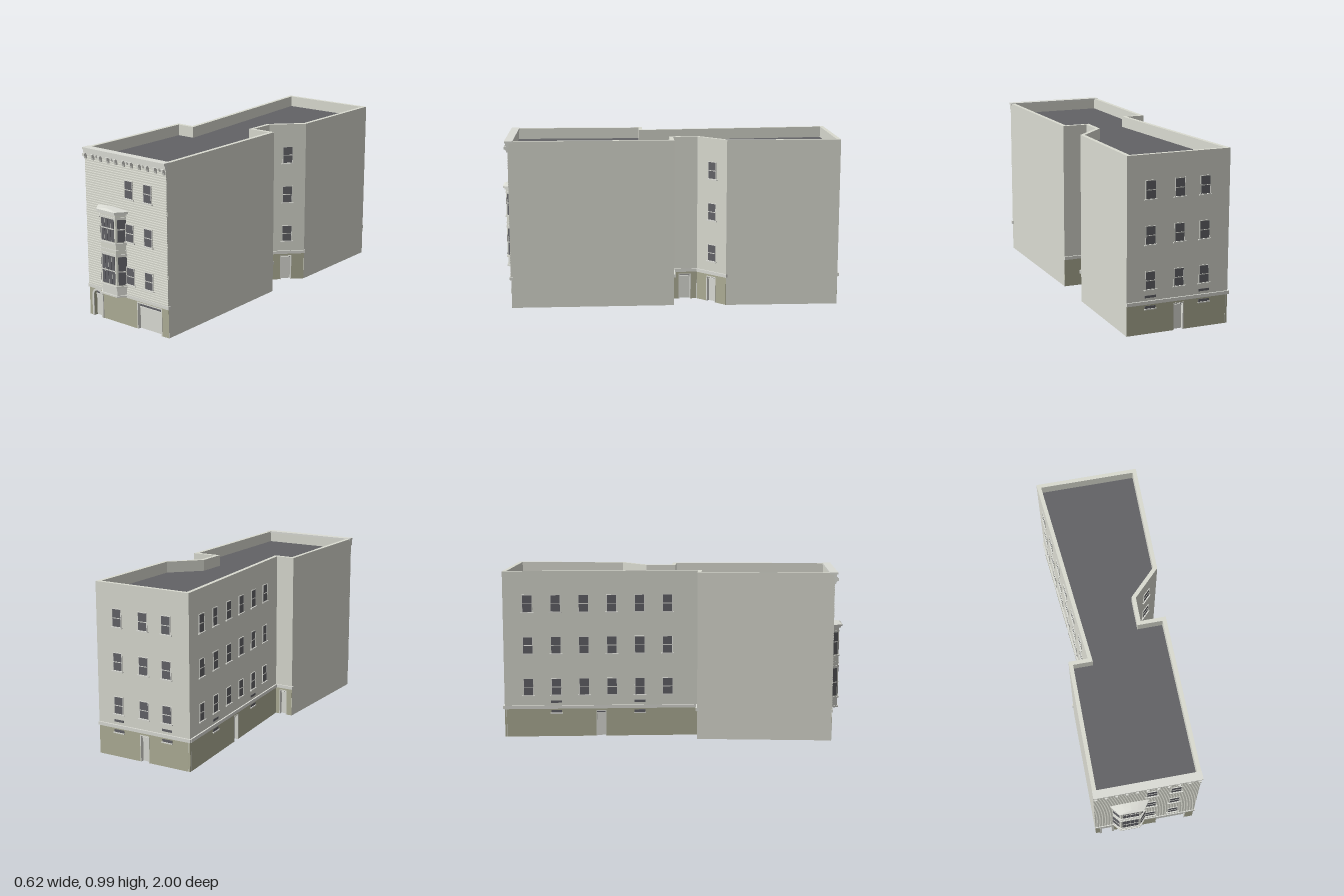
import * as THREE from 'three';
import { ConvexGeometry } from 'three/addons/geometries/ConvexGeometry.js';

const material = (name, color, side = THREE.FrontSide) => {
  const m = new THREE.MeshStandardMaterial({ color, side });
  m.name = name;
  return m;
};

export function createModel() {
  const wallMat = material('pale wall', 0xdadbd1);
  const trimMat = material('trim', 0xdcddd6);
  const baseMat = material('khaki base', 0xafaf97);
  const roofMat = material('roof grey', 0x626266, THREE.DoubleSide);
  const glassMat = material('dark glass', 0x646469);

  const model = new THREE.Group();
  model.name = 'townhouse';
  const TOP = 0.985, BASE = 0.17, ROOF = 0.92, RECESS = 0.024;

  const add = (parent, name, geometry, mat) => {
    const mesh = new THREE.Mesh(geometry, mat);
    mesh.name = name;
    parent.add(mesh);
    return mesh;
  };
  // Box given by its limits on each axis
  const box = (parent, name, mat, x0, x1, y0, y1, z0, z1) => {
    const m = add(parent, name, new THREE.BoxGeometry(x1 - x0, y1 - y0, z1 - z0), mat);
    m.position.set((x0 + x1) / 2, (y0 + y1) / 2, (z0 + z1) / 2);
  };
  const extrude = (shape, depth) =>
    new THREE.ExtrudeGeometry(shape, { depth, bevelEnabled: false, curveSegments: 10 });
  // Plan outline in (x, z), extruded upwards
  const planShape = pts => new THREE.Shape(pts.map(([x, z]) => new THREE.Vector2(x, -z)));
  const slab = (shape, y0, y1) => extrude(shape, y1 - y0).rotateX(-Math.PI / 2).translate(0, y0, 0);
  // Group whose x runs along a wall from p to q and whose z points outwards
  const frame = (name, p, q) => {
    const g = new THREE.Group();
    g.name = name;
    g.position.set(p[0], 0, p[1]);
    g.rotation.y = Math.atan2(p[1] - q[1], q[0] - p[0]);
    model.add(g);
    return g;
  };

  // Footprint, walked with the outside on the right
  const plan = [[-0.308, 0.935], [0.299, 0.935], [0.286, -0.02], [0.14, -0.02], [0.14, -0.165],
    [0.297, -0.325], [0.297, -0.988], [-0.306, -0.988], [-0.197, 0.15], [-0.308, 0.15]];
  const inset = d => plan.map((p, i) => {
    const n = plan.length, a = plan[(i + n - 1) % n], b = plan[(i + 1) % n];
    const u = new THREE.Vector2(p[0] - a[0], p[1] - a[1]).normalize();
    const v = new THREE.Vector2(b[0] - p[0], b[1] - p[1]).normalize();
    const k = d / (1 + u.dot(v));
    return [p[0] + (u.y + v.y) * k, p[1] - (u.x + v.x) * k];
  });
  const ring = d => {
    const s = planShape(plan);
    s.holes.push(planShape(inset(d)));
    return s;
  };

  // Upper walls, thicker parapet and sunken flat roof
  add(model, 'upperWalls', slab(ring(0.006), BASE, ROOF - 0.01), wallMat);
  add(model, 'parapet', slab(ring(0.023), ROOF - 0.01, TOP), wallMat);
  add(model, 'roof', slab(planShape(inset(0.02)), ROOF - 0.01, ROOF), roofMat);

  // Sash window with sill; u is its centre along the wall
  const addWindow = (g, u, y0, y1, z) => {
    const h = 0.027, f = 0.004;
    const rect = (a, b, c, d) => [[a, c], [b, c], [b, d], [a, d]].map(p => new THREE.Vector2(...p));
    const s = new THREE.Shape(rect(u - h - f, u + h + f, y0, y1 + f));
    s.holes.push(new THREE.Path(rect(u - h, u + h, y0 + 0.002, y1)));
    add(g, 'windowFrame', extrude(s, z + 0.004), trimMat);
    box(g, 'windowGlass', glassMat, u - h, u + h, y0, y1, 0, z + 0.002);
    box(g, 'windowRail', trimMat, u - h, u + h, (y0 + y1) / 2 - 0.002, (y0 + y1) / 2 + 0.002, 0, z + 0.004);
    box(g, 'windowSill', trimMat, u - h - 0.011, u + h + 0.011, y0 - 0.006, y0, 0, z + 0.009);
  };
  const rows = [[0.25, 0.347], [0.498, 0.597], [0.745, 0.844]];

  // Walls in plan order, with their door openings, windows and basement vents
  const walls = [
    { name: 'frontWall', base: true, windows: [0.332, 0.47], z: 0.004,
      doors: [{ a: 0.038, b: 0.1, h: 0.125, arch: true }, { a: 0.373, b: 0.558, h: 0.16, dark: true }] },
    { name: 'rightFrontWall' },
    { name: 'notchReturnWall', base: true },
    { name: 'notchInnerWall', base: true, doors: [{ a: 0.035, b: 0.108, h: 0.155 }] },
    { name: 'notchDiagonalWall', base: true, windows: [0.115], doors: [{ a: 0.075, b: 0.145, h: 0.155 }] },
    { name: 'rightRearWall' },
    { name: 'backWall', base: true, windows: [0.137, 0.307, 0.457], vents: [0.137, 0.457],
      doors: [{ a: 0.277, b: 0.337, h: 0.155 }] },
    { name: 'leftSlantedWall', base: true, windows: [0, 1, 2, 3, 4, 5].map(i => 0.142 + i * 0.1645),
      vents: [0.306, 0.8], doors: [{ a: 0.54, b: 0.6, h: 0.155, dark: true }] },
    { name: 'leftReturnWall', base: true, doors: [{ a: 0.025, b: 0.075, h: 0.155 }] },
    { name: 'leftFrontWall' },
  ];
  walls.forEach(({ name, base, windows = [], doors = [], vents = [], z = 0 }, i) => {
    const p = plan[i], q = plan[(i + 1) % plan.length];
    const g = frame(name, p, q), L = Math.hypot(q[0] - p[0], q[1] - p[1]), e = 0.0008;
    // Ground floor wall with notches for the doors, and pale lining inside
    const s = new THREE.Shape();
    s.moveTo(e, 0);
    for (const { a, b, h, arch } of doors) {
      s.lineTo(a, 0);
      s.lineTo(a, h);
      if (arch) s.absarc((a + b) / 2, h, (b - a) / 2, Math.PI, 0, true);
      else s.lineTo(b, h);
      s.lineTo(b, 0);
    }
    s.lineTo(L - e, 0);
    s.lineTo(L - e, BASE);
    s.lineTo(e, BASE);
    const t = base ? 0.01 : 0.004;
    add(g, 'groundFloor', extrude(s, t).translate(0, 0, -t), base ? baseMat : wallMat);
    add(g, 'groundLining', extrude(s, 0.002).translate(0, 0, -t - 0.002), wallMat);
    if (base) box(g, 'stringCourse', trimMat, 0, L + 0.006, BASE - 0.002, 0.187, -0.01, 0.009);
    for (const u of windows) for (const [y0, y1] of rows) addWindow(g, u, y0, y1, z);
    for (const u of vents) {
      box(g, 'ventGlass', glassMat, u - 0.032, u + 0.032, 0.143, 0.158, 0, 0.003);
      box(g, 'ventSill', trimMat, u - 0.036, u + 0.036, 0.137, 0.143, 0, 0.008);
      box(g, 'ventSlot', glassMat, u - 0.032, u + 0.032, 0.203, 0.216, 0, 0.003);
    }
    // Recessed door leaves with glass above and khaki reveals at the sides
    for (const { a, b, h, arch, dark } of doors) {
      const top = i === 0 ? 0.122 : 0.132, back = -RECESS - 0.004;
      const end = arch ? h + 0.03 : h;
      box(g, 'doorLeaf', trimMat, a, b, 0, top, back, -RECESS + 0.004);
      box(g, 'doorTransom', trimMat, a, b, top, top + 0.008, back, -RECESS + 0.009);
      box(g, 'doorGlass', glassMat, a, b, top + 0.008, end, back, -RECESS + 0.003);
      if (dark) box(g, 'doorBack', glassMat, a, b, 0, h, back - 0.003, back);
      for (const u of [a - 0.003, b]) box(g, 'doorReveal', baseMat, u, u + 0.003, 0, end, back, -t);
      if (arch) continue;
      box(g, 'doorRevealTop', baseMat, a, b, h, h + 0.003, back, -t);
      for (const u of [a, b - 0.005]) box(g, 'doorJamb', trimMat, u, u + 0.005, 0, h, -RECESS, 0.002);
      box(g, 'doorHead', trimMat, a, b, h - 0.006, h, -RECESS, 0.002);
    }
  });

  // Arched surround of the front door
  const cx = -0.239;
  const arch = new THREE.Shape();
  arch.moveTo(cx - 0.043, 0);
  arch.lineTo(cx - 0.043, 0.125);
  arch.absarc(cx, 0.125, 0.043, Math.PI, 0, true);
  arch.lineTo(cx + 0.043, 0);
  arch.lineTo(cx + 0.031, 0);
  arch.lineTo(cx + 0.031, 0.125);
  arch.absarc(cx, 0.125, 0.031, 0, Math.PI, false);
  arch.lineTo(cx - 0.031, 0);
  add(model, 'doorSurround', extrude(arch, 0.006).translate(0, 0, 0.935), trimMat);

  // Horizontal siding with a sawtooth profile
  const boards = 56, y0 = 0.187, step = (0.95 - y0) / boards;
  const saw = new THREE.Shape();
  saw.moveTo(0, y0);
  for (let i = 0; i < boards; i++) {
    saw.lineTo(0.004, y0 + i * step);
    saw.lineTo(0.004, y0 + (i + 0.6) * step);
    saw.lineTo(0.002, y0 + (i + 0.98) * step);
  }
  saw.lineTo(0, 0.95);
  const siding = add(model, 'siding', extrude(saw, 0.606), wallMat);
  siding.rotation.y = -Math.PI / 2;
  siding.position.set(0.2985, 0, 0.935);

  // Front cornice and its brackets
  box(model, 'corniceBand', trimMat, -0.308, 0.3, 0.948, 0.957, 0.93, 0.946);
  box(model, 'corniceFascia', trimMat, -0.308, 0.3, 0.957, 0.976, 0.93, 0.95);
  box(model, 'corniceCap', trimMat, -0.309, 0.301, 0.976, 0.988, 0.909, 0.957);
  const bracket = (x, w, h, d) => {
    const s = new THREE.Shape([[0, 0], [d * 0.4, 0], [d * 0.6, h * 0.45], [d, h * 0.55], [d, h], [0, h]]
      .map(p => new THREE.Vector2(...p)));
    const m = add(model, 'corniceBracket', extrude(s, w), trimMat);
    m.rotation.y = -Math.PI / 2;
    m.position.set(x + w / 2, 0.955 - h, 0.935);
  };
  for (let i = 0; i < 11; i++) bracket(-0.297 + i * 0.0583, 0.014, 0.033, 0.026);
  for (let i = 0; i < 5; i++) bracket(-0.213 + i * 0.1166, 0.01, 0.02, 0.018);

  // Bay window: stacked slabs on a three-sided plan
  const bayPlan = g => [[-0.205 - g, 0.93], [-0.16 - g * 0.6, 0.981 + g], [-0.044 + g * 0.6, 0.981 + g], [0.002 + g, 0.93]];
  const baySlab = (name, a, b, g, mat) => add(model, name, slab(planShape(bayPlan(g)), a, b), mat);
  baySlab('bayBody', 0.225, 0.655, 0, wallMat);
  [[0.164, 0.171, -0.03], [0.171, 0.18, 0.004], [0.18, 0.228, -0.003], [0.228, 0.236, 0.006],
    [0.412, 0.424, 0.004], [0.44, 0.446, 0.003], [0.478, 0.486, 0.006],
    [0.626, 0.634, 0.004], [0.648, 0.658, 0.01], [0.658, 0.669, 0.018]]
    .forEach(([a, b, g]) => baySlab('bayMoulding', a, b, g, trimMat));
  const cap = bayPlan(0.018).map(([x, z]) => new THREE.Vector3(x, 0.669, z));
  for (const dx of [-0.11, -0.055, 0, 0.055, 0.11])
    cap.push(new THREE.Vector3(-0.101 + dx, 0.681 - dx * dx * 0.8, 0.936),
      new THREE.Vector3(-0.101 + dx * 0.6, 0.679 - dx * dx * 0.8, 0.985));
  add(model, 'bayRoof', new ConvexGeometry(cap), trimMat);

  // Bay glazing: four lights in front, one on each side
  const corners = bayPlan(0);
  [['bayLeftGlazing', 1], ['bayFrontGlazing', 4], ['bayRightGlazing', 1]].forEach(([name, count], i) => {
    const p = corners[i], q = corners[i + 1], g = frame(name, p, q);
    const L = Math.hypot(q[0] - p[0], q[1] - p[1]), m = 0.009, w = (L - 2 * m) / count;
    for (const [a, b, rail] of [[0.243, 0.407, 0.322], [0.492, 0.621, 0.566]]) {
      for (let k = 0; k < count; k++) {
        const u = m + k * w;
        box(g, 'bayGlass', glassMat, u + 0.0015, u + w - 0.0015, a, b, 0, 0.002);
      }
      box(g, 'bayRail', trimMat, m, L - m, rail - 0.003, rail + 0.003, 0, 0.004);
    }
  });
  return model;
}
